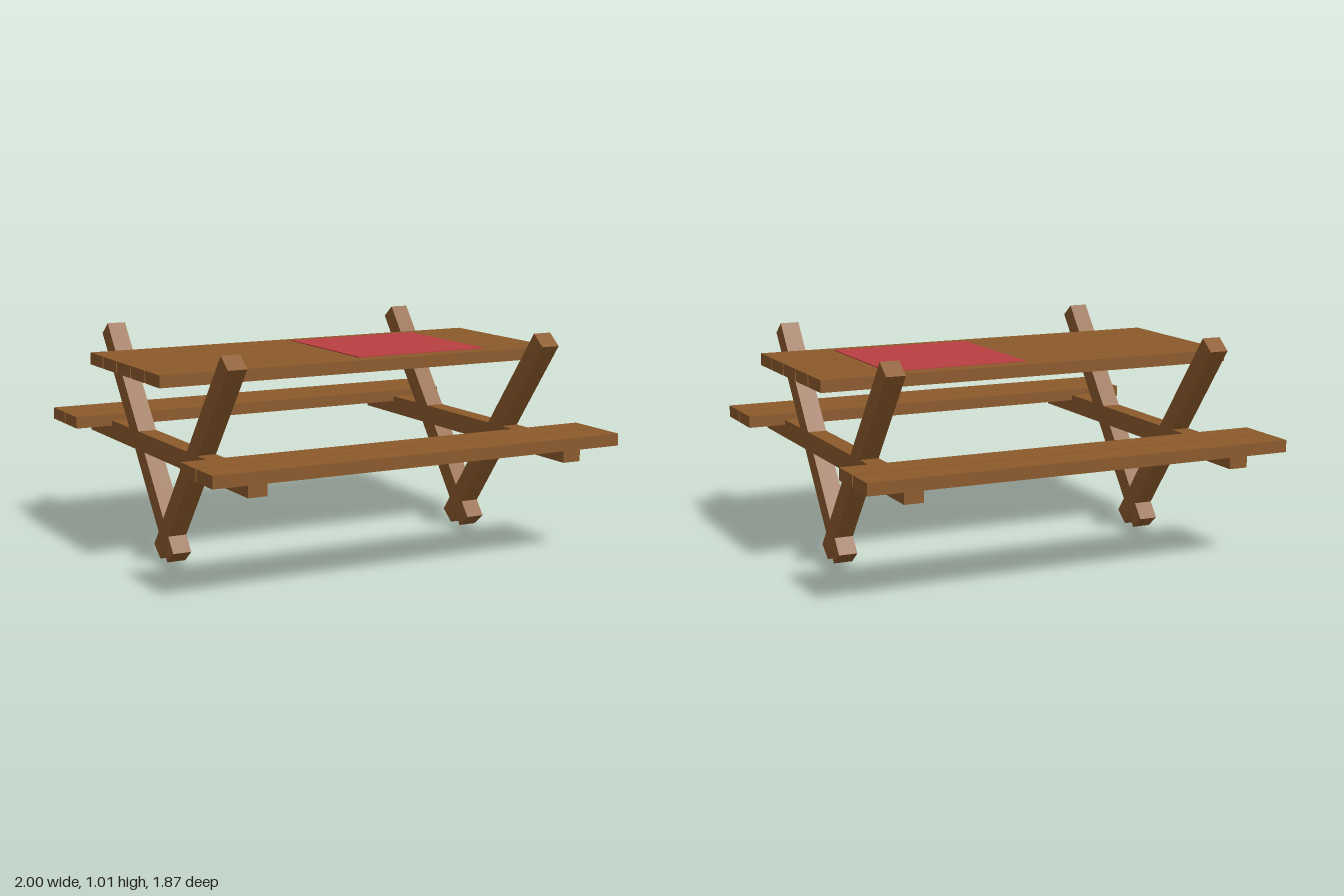
import * as THREE from 'three';

const wood = new THREE.MeshStandardMaterial({ color: 0x8b5a2b });
wood.name = 'brown wood';
const red = new THREE.MeshStandardMaterial({ color: 0xb93e40 });
red.name = 'red cloth';

const PLANK = { width: 0.155, thickness: 0.055, pitch: 0.165 };
const BEAM = 0.088;

export function createModel() {
  const model = new THREE.Group();
  model.name = 'picnicTable';

  function box(name, size, position, material = wood, parent = model) {
    const mesh = new THREE.Mesh(new THREE.BoxGeometry(...size), material);
    mesh.name = name;
    mesh.position.set(...position);
    parent.add(mesh);
    return mesh;
  }

  // A row of full-length planks centred on z
  function plankRow(name, count, y, z) {
    const row = new THREE.Group();
    row.name = name;
    for (let i = 0; i < count; i++) {
      const offset = (i - (count - 1) / 2) * PLANK.pitch;
      box(name + 'Plank', [2, PLANK.thickness, PLANK.width], [0, y, z + offset], wood, row);
    }
    model.add(row);
  }

  plankRow('tableTop', 5, 0.89, 0);
  plankRow('frontBench', 2, 0.556, 0.774);
  plankRow('backBench', 2, 0.556, -0.774);

  // Crossed legs and bench support at each end
  for (const side of [-1, 1]) {
    const frame = new THREE.Group();
    frame.name = side > 0 ? 'leftFrame' : 'rightFrame';
    frame.position.x = side * 0.779;
    model.add(frame);
    for (const lean of [-1, 1]) {
      const leg = box('crossedLeg', [BEAM, 1.218, BEAM], [0, 0.511, lean * 0.3], wood, frame);
      leg.rotation.x = lean * Math.atan2(0.75, 0.96);
    }
    box('benchSupport', [BEAM, BEAM, 1.78], [0, 0.51, 0], wood, frame);
  }

  // Thin cloth lying on one half of the top
  box('tableCloth', [0.667, 0.004, 0.667], [0.333, 0.9205, 0], red);

  return model;
}
